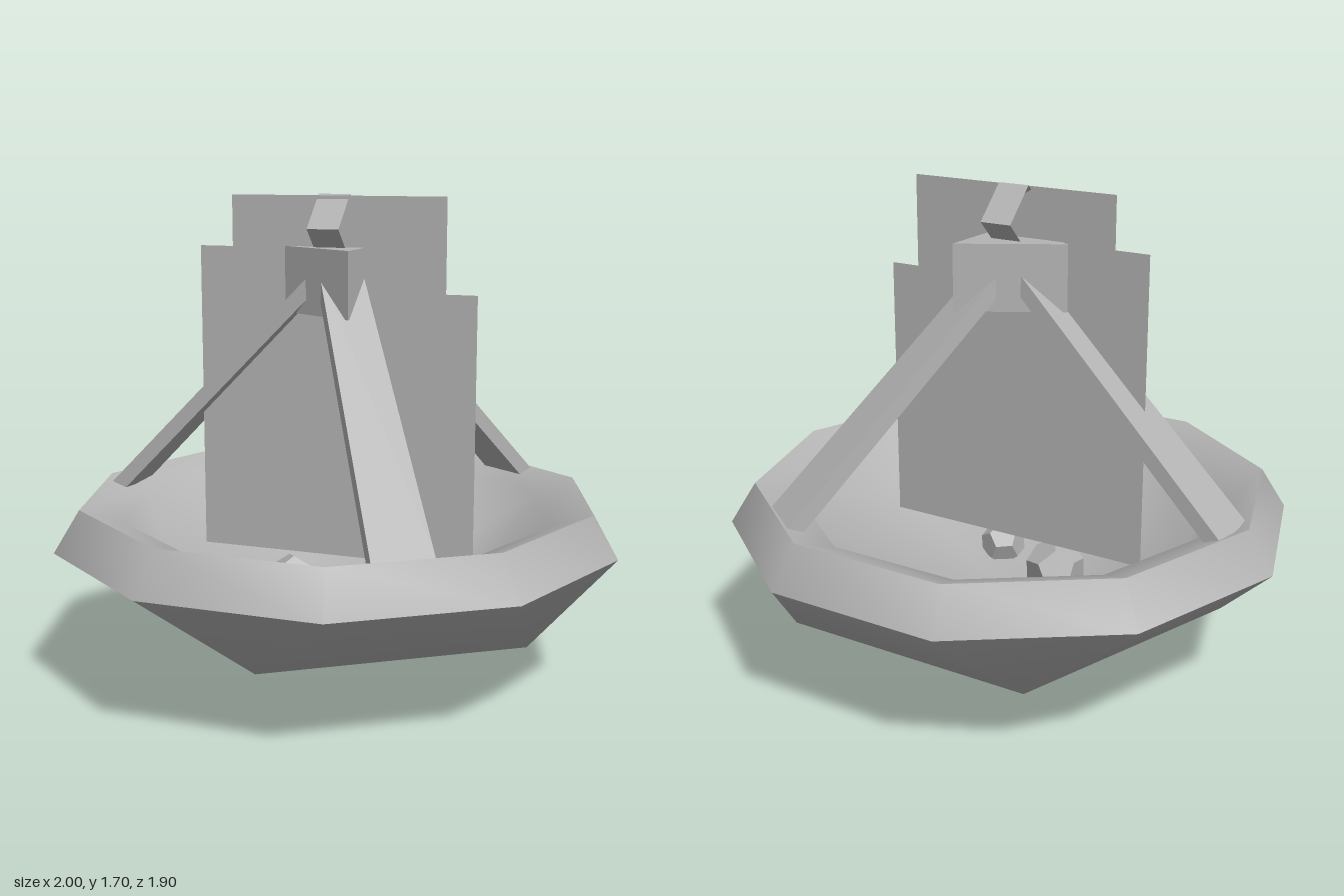
import * as THREE from 'three';
import { mergeVertices } from 'three/addons/utils/BufferGeometryUtils.js';

const SIDES = 10;

// Smooth ten-sided band. Each ring is [radius, y, xShift, zShift, fiveSided];
// a five-sided ring joins its corners in pairs.
function band(rings) {
  const g = new THREE.LatheGeometry(rings.map(([r, y]) => new THREE.Vector2(r, y)), SIDES);
  const p = g.attributes.position;
  for (let i = 0; i < p.count; i++) {
    const [r, y, dx = 0, dz = 0, fiveSided] = rings[i % rings.length];
    const side = Math.floor(i / rings.length) % SIDES;
    let degrees = 18 + side * 36;
    if (fiveSided) degrees = Math.round(degrees / 72) * 72;
    const a = THREE.MathUtils.degToRad(degrees % 360);
    p.setXYZ(i, Math.sin(a) * r + dx, y, Math.cos(a) * r + dz);
  }
  g.deleteAttribute('uv');
  g.deleteAttribute('normal');
  const merged = mergeVertices(g, 1e-4);
  merged.computeVertexNormals();
  return merged;
}

// Hard-edged copy of a geometry
function faceted(g) {
  const flat = g.index ? g.toNonIndexed() : g;
  flat.computeVertexNormals();
  return flat;
}

export function createModel() {
  const model = new THREE.Group();
  model.name = 'brazier';
  const stone = new THREE.MeshStandardMaterial({ color: 0xb4b4b4, side: THREE.DoubleSide });
  stone.name = 'greyStone';

  const add = (name, geometry, parent = model) => {
    const mesh = new THREE.Mesh(geometry, stone);
    mesh.name = name;
    parent.add(mesh);
    return mesh;
  };

  // Bowl: underside, sloping rim and hollow inside
  add('bowlUnderside', band([[0, 0, -0.03, 0], [0.78, 0.235, 0, -0.04, true], [1, 0.505]]));
  add('bowlRim', band([[1, 0.505], [0.91, 0.65]]));
  add('bowlInside', band([[0.91, 0.65], [0.76, 0.595], [0.62, 0.41, 0, 0, true], [0, 0.14, -0.02, 0]]));

  // Top assembly shares one slightly offset axis
  const frame = new THREE.Group();
  frame.name = 'hangingFrame';
  frame.position.set(-0.01, 0, -0.02);
  model.add(frame);

  // Triangular hub
  add('hub', faceted(new THREE.CylinderGeometry(0.22, 0.22, 0.23, 3, 1, false, -Math.PI / 2)), frame)
    .position.y = 1.405;

  // Three tapered struts from hub to rim
  const from = new THREE.Vector2(0.03, 1.432), to = new THREE.Vector2(0.837, 0.618);
  const run = to.clone().sub(from);
  const strut = new THREE.BoxGeometry(run.length(), 0.052, 1);
  const sp = strut.attributes.position;
  for (let i = 0; i < sp.count; i++) {
    sp.setZ(i, sp.getZ(i) * (sp.getX(i) > 0 ? 0.205 : 0.152));
  }
  strut.rotateZ(Math.atan2(run.y, run.x));
  strut.translate((from.x + to.x) / 2, (from.y + to.y) / 2, 0);
  for (const [name, degrees] of [['sideStrut', 180], ['backStrut', 56], ['frontStrut', -56]]) {
    add(name, strut, frame).rotation.y = THREE.MathUtils.degToRad(degrees);
  }

  // Square hanging ring on one corner, with a wedge-shaped section
  const section = [[0.08, 0], [0.115, -0.0575], [0.115, 0.0575], [0.08, 0]];
  const ring = faceted(new THREE.LatheGeometry(section.map(([r, y]) => new THREE.Vector2(r, y)), 4));
  ring.rotateZ(Math.PI / 2);
  add('hangingRing', ring, frame).position.set(-0.008, 1.585, 0.003);

  // Thin stepped flame panel
  const outline = [[-0.52, 0.42], [0.5, 0.42], [0.5, 1.37], [0.39, 1.37],
    [0.39, 1.695], [-0.395, 1.695], [-0.395, 1.515], [-0.52, 1.515]];
  add('flamePanel', new THREE.ShapeGeometry(
    new THREE.Shape(outline.map(([x, y]) => new THREE.Vector2(x, y)))));

  // Coals lying in the bowl
  const coals = [[-0.12, 0.22, -0.14, 0.09, 0.3], [-0.16, 0.31, 0.04, 0.11, 1.1], [0.15, 0.29, 0.18, 0.085, 2]];
  for (const [x, y, z, r, turn] of coals) {
    const coal = add('coal', faceted(new THREE.DodecahedronGeometry(r, 0)));
    coal.position.set(x, y, z);
    coal.rotation.set(turn, turn * 2, 0);
  }

  return model;
}
